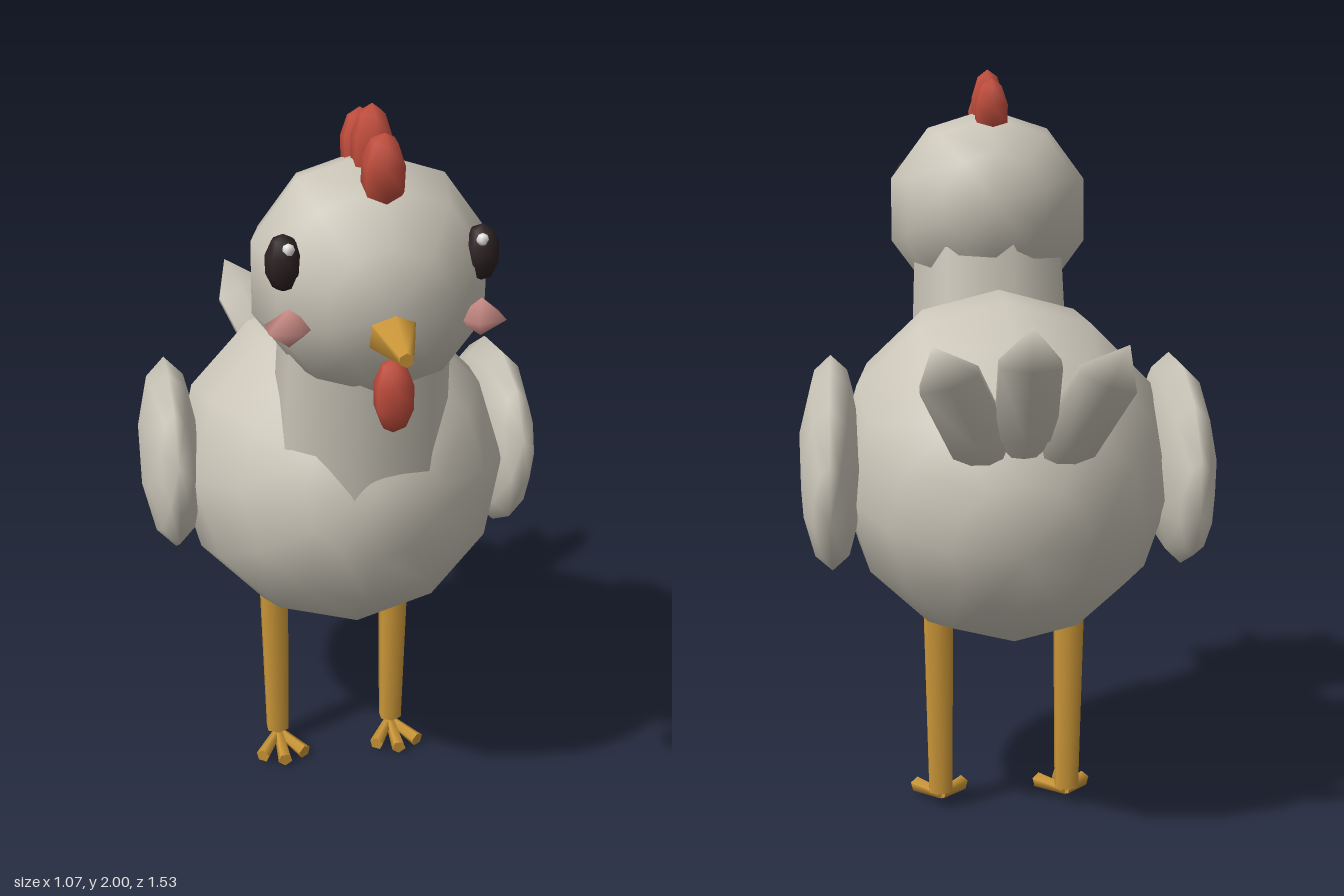
import * as THREE from 'three';

const paint = (name, color) => {
  const m = new THREE.MeshStandardMaterial({ color });
  m.name = name;
  return m;
};

export function createModel() {
  const cream = paint('cream feathers', 0xcbc6b9);
  const yellow = paint('yellow skin', 0xcc9738);
  const red = paint('red comb', 0xbe4c3c);
  const dark = paint('dark eye', 0x2a1f20);
  const pink = paint('pink cheek', 0xd0908a);
  const white = paint('white glint', 0xf2f0ec);
  const model = new THREE.Group();
  model.name = 'chicken';

  const add = (name, geometry, material, position, rotation = [0, 0, 0]) => {
    const mesh = new THREE.Mesh(geometry, material);
    mesh.name = name;
    mesh.position.set(...position);
    mesh.rotation.set(...rotation);
    model.add(mesh);
    return mesh;
  };
  // Ellipsoid with its poles up and down, a vertex facing front
  const egg = (size, sides, rings) =>
    new THREE.SphereGeometry(1, sides, rings).rotateY(Math.PI / 2).scale(...size);
  // Ellipsoid with its poles at front and back
  const longEgg = (size, sides, rings) =>
    new THREE.SphereGeometry(1, sides, rings).rotateY(Math.PI / 2).rotateX(Math.PI / 2).scale(...size);
  // Tapered rod between two points
  const rod = (name, from, to, r0, r1, sides, material) => {
    const a = new THREE.Vector3(...from), b = new THREE.Vector3(...to);
    const dir = b.clone().sub(a);
    const mesh = add(name, new THREE.CylinderGeometry(r1, r0, dir.length(), sides), material,
      a.clone().add(b).multiplyScalar(0.5).toArray());
    mesh.quaternion.setFromUnitVectors(new THREE.Vector3(0, 1, 0), dir.normalize());
    return mesh;
  };

  // Body, neck and head
  add('body', longEgg([0.445, 0.446, 0.563], 12, 8), cream, [0, 0.94, -0.07], [-0.25, 0, 0]);
  add('neck', new THREE.CylinderGeometry(0.215, 0.235, 0.54, 7, 1, false, -0.23), cream,
    [0, 1.21, 0.265], [0.17, 0, 0]);
  add('head', longEgg([0.292, 0.285, 0.288], 10, 6), cream, [0, 1.605, 0.364], [0.05, 0, 0]);

  // Beak, wattle and comb
  rod('beak', [0, 1.545, 0.59], [0, 1.532, 0.765], 0.07, 0.017, 6, yellow);
  add('wattle', egg([0.05, 0.09, 0.048], 6, 5), red, [0, 1.405, 0.645]);
  for (const [z, y, tilt] of [[0.505, 1.87, 0.18], [0.382, 1.89, 0], [0.257, 1.87, -0.18]])
    add('combLobe', egg([0.052, y > 1.88 ? 0.11 : 0.095, 0.066], 6, 5), red, [0, y, z], [tilt, 0, 0]);

  // Middle tail feather
  const feather = egg([0.095, 0.205, 0.038], 6, 3);
  add('tailFeather', feather, cream, [0, 1.18, -0.66], [-0.54, 0, 0]);

  for (const s of [-1, 1]) {
    // Face
    add('eye', egg([0.043, 0.066, 0.05], 8, 5), dark, [s * 0.225, 1.685, 0.518]);
    add('eyeGlint', new THREE.SphereGeometry(0.015, 6, 4), white, [s * 0.218, 1.723, 0.55]);
    add('cheek', new THREE.SphereGeometry(1, 5, 2).rotateY(s * Math.PI / 2 - Math.PI / 2)
      .scale(0.062, 0.045, 0.057), pink, [s * 0.22, 1.545, 0.555]);

    // Wing and outer tail feather
    add('wing', longEgg([0.085, 0.262, 0.345], 10, 6), cream, [s * 0.452, 0.96, -0.13], [-0.3, 0, 0]);
    add('tailFeather', feather, cream, [s * 0.14, 1.15, -0.64], [-0.54, 0, -s * 0.4]);

    // Leg with three toes
    rod('leg', [s * 0.172, 0.045, -0.105], [s * 0.176, 0.62, -0.103], 0.035, 0.046, 6, yellow);
    for (const t of [-1, 0, 1])
      rod('toe', [s * 0.17, 0.033, -0.1], [s * 0.17 + t * 0.062, 0.022, t ? 0.005 : 0.035],
        0.014, 0.021, 5, yellow);
  }
  return model;
}
